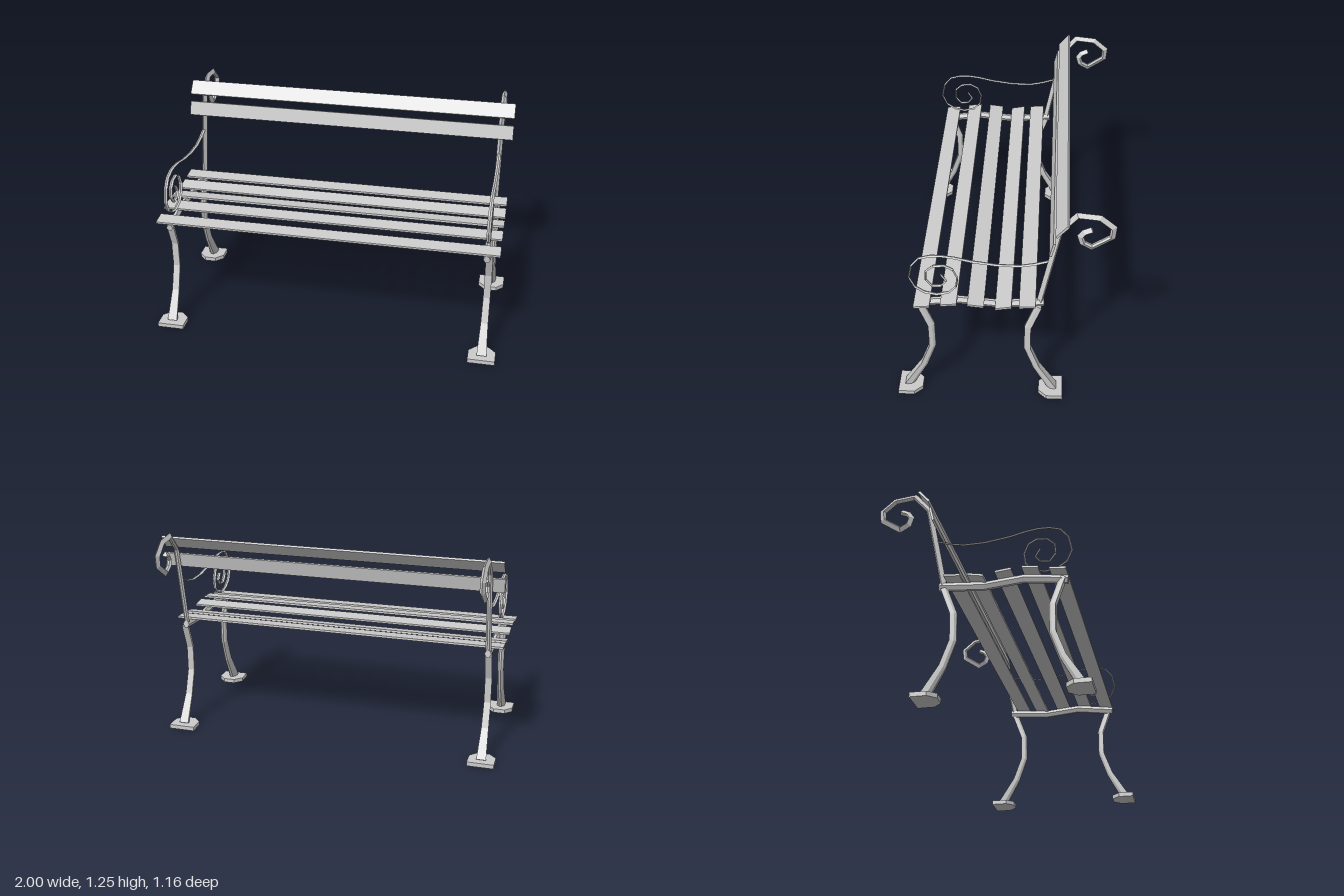
import * as THREE from 'three';

const material = new THREE.MeshStandardMaterial({ color: 0xcccccc, flatShading: true });

function mesh(name, geometry) {
  const m = new THREE.Mesh(geometry, material);
  m.name = name;
  return m;
}

// Sweeps a convex section of [outward, x] points along a [z, y, scale] path with mitred joints
function sweep(path, section) {
  const dir = (a, b) => new THREE.Vector2(b[0] - a[0], b[1] - a[1]).normalize();
  const last = path.length - 1;
  const rings = path.map((p, i) => {
    const a = dir(path[Math.max(i - 1, 0)], path[Math.max(i, 1)]);
    const b = dir(path[Math.min(i, last - 1)], path[Math.min(i + 1, last)]);
    const t = a.clone().add(b).normalize();
    const s = p[2] ?? 1;
    const k = s / Math.max(t.dot(a), 0.7);
    return section.map(([n, x]) => [x * s, p[1] - t.x * n * k, p[0] + t.y * n * k]);
  });
  const pos = [];
  const tri = (a, b, c) => pos.push(...a, ...b, ...c);
  const count = section.length;
  for (let i = 0; i < last; i++) {
    for (let k = 0; k < count; k++) {
      const j = (k + 1) % count;
      tri(rings[i][k], rings[i][j], rings[i + 1][j]);
      tri(rings[i][k], rings[i + 1][j], rings[i + 1][k]);
    }
  }
  for (let k = 1; k < count - 1; k++) {
    tri(rings[0][0], rings[0][k + 1], rings[0][k]);
    tri(rings[last][0], rings[last][k], rings[last][k + 1]);
  }
  const g = new THREE.BufferGeometry();
  g.setAttribute('position', new THREE.Float32BufferAttribute(pos, 3));
  g.computeVertexNormals();
  return g;
}

// Cross-sections, counter-clockwise as [outward, x]
const legSection = [[0.017, -0.02], [0.017, 0.02], [-0.006, 0.016], [-0.018, 0.006], [-0.018, -0.006], [-0.006, -0.016]];
const railSection = [[0.022, -0.008], [0.022, 0.008], [0, 0.02], [-0.022, 0.008], [-0.022, -0.008], [0, -0.02]];
const backSection = [[0.016, 0], [-0.007, 0.016], [-0.015, 0.006], [-0.015, -0.006], [-0.007, -0.016]];
const armSection = [[0.005, 0], [0, 0.011], [-0.005, 0], [0, -0.011]];

// Paths as [z, y]
const legPath = [[0.525, 0.02, 1.4], [0.432, 0.18, 1.05], [0.38, 0.325], [0.381, 0.48], [0.437, 0.635]];
const railPath = [[0.465, 0.62], [0.235, 0.65], [0.02, 0.63], [-0.225, 0.65]];
const backPath = [
  [-0.2, 0.65], [-0.297, 1.14], [-0.382, 1.238], [-0.494, 1.226], [-0.565, 1.165], [-0.56, 1.105],
  [-0.46, 1.036], [-0.413, 1.063], [-0.4, 1.105], [-0.418, 1.132], [-0.457, 1.15],
];
const armPath = [
  [-0.24, 0.932], [-0.17, 0.91], [-0.096, 0.895], [0.02, 0.896], [0.153, 0.915], [0.245, 0.937], [0.31, 0.946],
  [0.37, 0.945], [0.43, 0.927], [0.47, 0.877], [0.487, 0.794], [0.46, 0.731], [0.408, 0.695],
  [0.345, 0.682], [0.28, 0.698], [0.24, 0.741], [0.232, 0.8], [0.255, 0.857], [0.3, 0.882],
  [0.358, 0.877], [0.398, 0.84], [0.4, 0.784], [0.368, 0.741], [0.318, 0.745], [0.292, 0.778], [0.318, 0.82],
];

// Foot plate with the two inner corners cut off
function footGeometry() {
  const s = new THREE.Shape([
    [-0.078, -0.58], [0.078, -0.58], [0.078, -0.49], [0.035, -0.445], [-0.035, -0.445], [-0.078, -0.49],
  ].map(([x, y]) => new THREE.Vector2(x, y)));
  return new THREE.ExtrudeGeometry(s, { depth: 0.025, bevelEnabled: false }).rotateX(-Math.PI / 2);
}

export function createModel() {
  const model = new THREE.Group();
  model.name = 'gardenBench';

  const legGeo = sweep(legPath, legSection);
  const footGeo = footGeometry();
  const ironParts = [
    ['seatRail', sweep(railPath, railSection)],
    ['backScroll', sweep(backPath, backSection)],
    ['armScroll', sweep(armPath, armSection)],
  ];

  for (const side of ['right', 'left']) {
    const right = side === 'right';
    // Legs: the back one is the front one turned around z = 0.12
    for (const end of ['Front', 'Back']) {
      const leg = new THREE.Group();
      leg.name = side + end + 'Leg';
      leg.add(mesh('legBar', legGeo), mesh('footPlate', footGeo));
      leg.position.x = right ? -0.922 : 0.92;
      if (end === 'Back') {
        leg.rotation.y = Math.PI;
        leg.position.z = 0.24;
      }
      model.add(leg);
    }
    // Seat rail, back upright and armrest
    const iron = new THREE.Group();
    iron.name = side + 'Ironwork';
    iron.position.x = right ? -0.92 : 0.907;
    for (const [name, geo] of ironParts) iron.add(mesh(name, geo));
    model.add(iron);
  }

  // Slats: name, z, y, width, thickness, tilt about x
  const slats = [
    ['seatSlat1', 0.422, 0.651, 0.087, 0.012, 0.1],
    ['seatSlat2', 0.278, 0.672, 0.087, 0.012, 0.11],
    ['seatSlat3', 0.135, 0.67, 0.088, 0.012, -0.11],
    ['seatSlat4', -0.012, 0.66, 0.087, 0.012, 0.18],
    ['seatSlat5', -0.138, 0.672, 0.088, 0.012, 0.07],
    ['lowerBackSlat', -0.261, 1.066, 0.084, 0.013, 1.33],
    ['upperBackSlat', -0.308, 1.184, 0.09, 0.013, 0.86],
  ];
  for (const [name, z, y, width, thickness, tilt] of slats) {
    const slat = mesh(name, new THREE.BoxGeometry(1.98, thickness, width));
    slat.position.set(-0.01, y, z);
    slat.rotation.x = tilt;
    model.add(slat);
  }
  return model;
}
